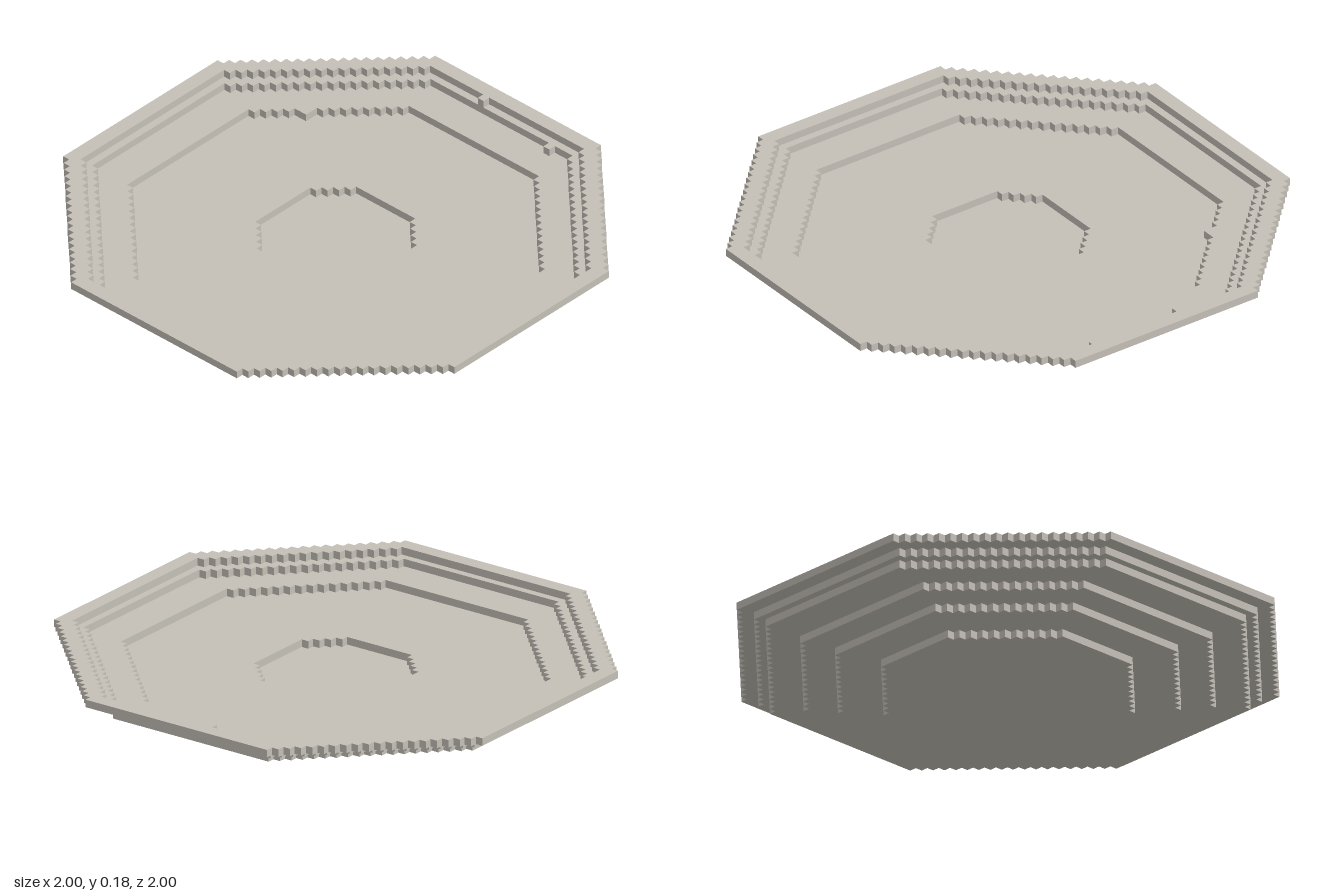
import * as THREE from 'three';

const V = 2 / 66; // edge of one cubic block

// Stair-stepped octagon: n = half width, f = half of the straight side, in blocks
function steppedOctagon(n, f) {
  const corner = [];
  for (let i = 0; i < n - f; i++) {
    corner.push([n - i, f + i], [n - i - 1, f + i]);
  }
  corner.push([f, n]);
  const points = [];
  for (let q = 0; q < 4; q++) {
    for (const [x, y] of corner) {
      const [px, py] = [[x, y], [-y, x], [-x, -y], [y, -x]][q];
      points.push(new THREE.Vector2(px * V, py * V));
    }
  }
  return points;
}

export function createModel() {
  const stone = new THREE.MeshStandardMaterial({ color: 0xc4c0b7 });
  stone.name = 'paleStone';
  const dish = new THREE.Group();
  dish.name = 'octagonalDish';

  // Layers from the foot up: outer octagon and opening, each [half width, half side]
  const layers = [
    { name: 'foot', outer: [16, 6] },
    { name: 'base', outer: [21, 9] },
    { name: 'floor', outer: [25, 11], hole: [9, 5] },
    { name: 'lowerStep', outer: [30, 12], hole: [25, 11] },
    { name: 'upperStep', outer: [31, 13], hole: [30, 12] },
    { name: 'rim', outer: [33, 14], hole: [31, 13] },
  ];
  layers.forEach(({ name, outer, hole }, level) => {
    const shape = new THREE.Shape(steppedOctagon(...outer));
    if (hole) shape.holes.push(new THREE.Path(steppedOctagon(...hole).reverse()));
    const geometry = new THREE.ExtrudeGeometry(shape, { depth: V, bevelEnabled: false });
    geometry.rotateX(-Math.PI / 2);
    const mesh = new THREE.Mesh(geometry, stone);
    mesh.name = name;
    mesh.position.y = level * V;
    dish.add(mesh);
  });

  // Single blocks jutting from the inner edges: [x, level, z] of the lowest corner
  for (const [x, level, z] of [[-4, 5, -31], [8, 4, -30], [-20, 3, -16]]) {
    const block = new THREE.Mesh(new THREE.BoxGeometry(V, V, V), stone);
    block.name = 'strayBlock';
    block.position.set(x + 0.5, level + 0.5, z + 0.5).multiplyScalar(V);
    dish.add(block);
  }
  return dish;
}
